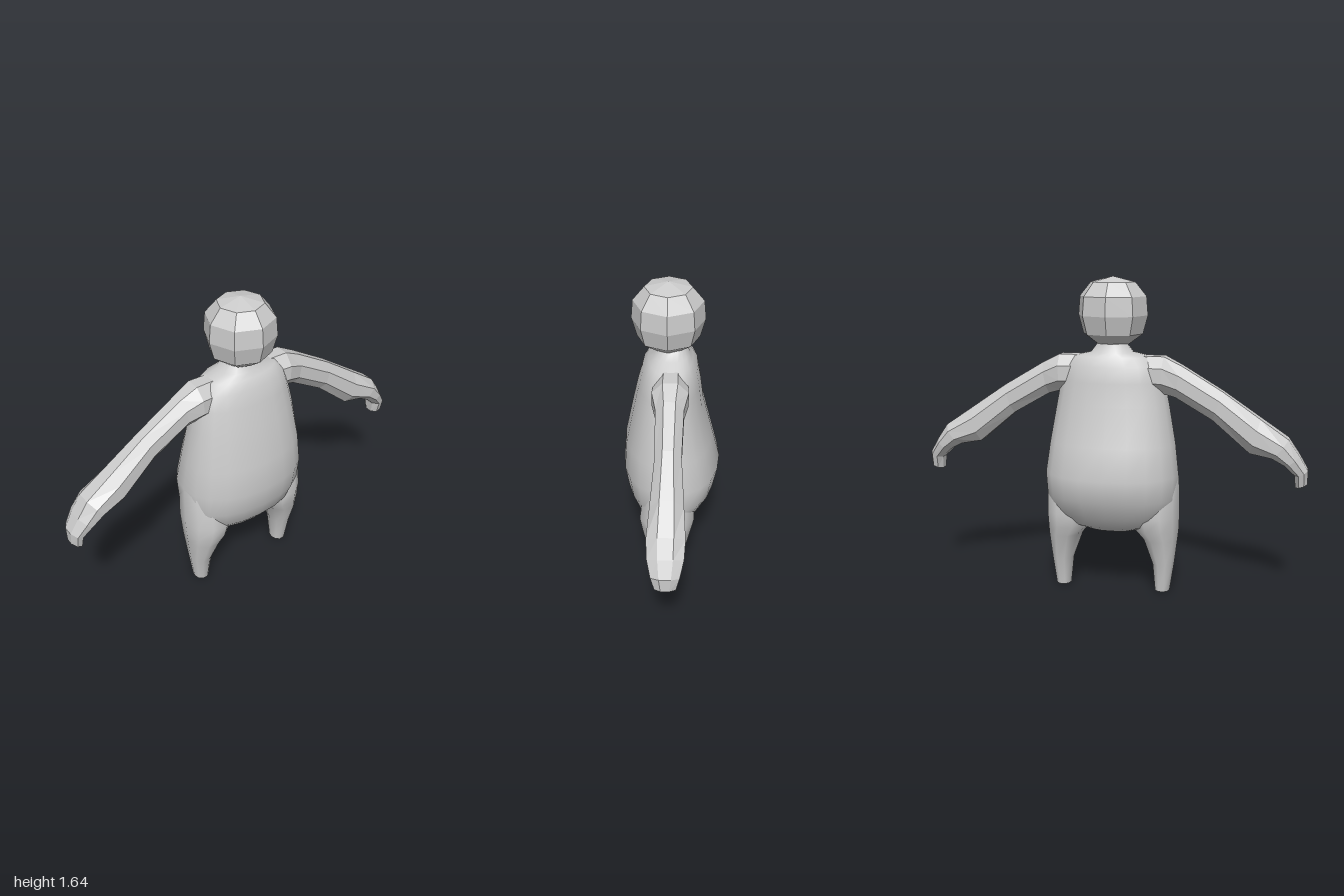
import * as THREE from 'three';

const smooth = new THREE.MeshStandardMaterial({ color: 0xcccccc });
const faceted = new THREE.MeshStandardMaterial({ color: 0xcccccc, flatShading: true });

// Skin a series of closed rings and cap both ends
function loft(name, rings, material) {
  const n = rings[0].length, pos = [], index = [];
  for (const ring of rings) for (const p of ring) pos.push(...p);
  for (let i = 0; i < rings.length - 1; i++) {
    for (let j = 0; j < n; j++) {
      const k = (j + 1) % n, a = i * n + j, b = i * n + k;
      index.push(a, a + n, b, b, a + n, b + n);
    }
  }
  const addCap = (ring, first) => {
    const start = pos.length / 3;
    for (const p of ring) pos.push(...p);
    pos.push(...[0, 1, 2].map((c) => ring.reduce((s, p) => s + p[c], 0) / n));
    for (let j = 0; j < n; j++) {
      const a = start + j, b = start + (j + 1) % n;
      index.push(start + n, first ? a : b, first ? b : a);
    }
  };
  addCap(rings[0], true);
  addCap(rings[rings.length - 1], false);
  const geo = new THREE.BufferGeometry();
  geo.setAttribute('position', new THREE.Float32BufferAttribute(pos, 3));
  geo.setIndex(index);
  geo.computeVertexNormals();
  const mesh = new THREE.Mesh(geo, material);
  mesh.name = name;
  return mesh;
}

// Horizontal rounded section between x0..x1 and back..front
function section(y, x0, x1, back, front, sides, power = 1) {
  const round = (v) => Math.sign(v) * Math.abs(v) ** power;
  return Array.from({ length: sides }, (_, i) => {
    const t = (i / sides) * Math.PI * 2;
    return [
      (x0 + x1) / 2 + round(Math.cos(t)) * (x1 - x0) / 2,
      y,
      (back + front) / 2 + round(Math.sin(t)) * (front - back) / 2,
    ];
  });
}

// Pear-shaped trunk with belly, rump, shoulders and neck: y, half width, back, front
function makeTorso() {
  const levels = [
    [0.33, 0.13, -0.07, 0.08], [0.36, 0.23, -0.12, 0.14], [0.42, 0.31, -0.17, 0.19],
    [0.52, 0.345, -0.225, 0.23], [0.64, 0.35, -0.25, 0.25], [0.8, 0.33, -0.21, 0.237],
    [1.0, 0.295, -0.16, 0.195], [1.12, 0.27, -0.145, 0.168], [1.2, 0.25, -0.13, 0.145],
    [1.245, 0.2, -0.105, 0.115], [1.265, 0.11, -0.09, 0.09], [1.31, 0.075, -0.075, 0.07],
  ];
  return loft('torso', levels.map(([y, w, b, f]) => section(y, -w, w, b, f, 20, 0.9)), smooth);
}

// Tapered leg merging into the hip: y, inner x, outer x, back, front
function makeLeg(s) {
  const levels = [
    [0, 0.23, 0.31, -0.035, 0.06], [0.15, 0.215, 0.332, -0.055, 0.085],
    [0.29, 0.165, 0.348, -0.095, 0.135], [0.34, 0.12, 0.353, -0.11, 0.15],
    [0.42, 0.1, 0.356, -0.13, 0.165], [0.62, 0.1, 0.352, -0.12, 0.14],
    [0.74, 0.12, 0.325, -0.06, 0.07],
  ];
  const rings = levels.map(([y, a, b, back, front]) =>
    section(y, Math.min(s * a, s * b), Math.max(s * a, s * b), back, front, 10, 0.9));
  return loft(s > 0 ? 'leftLeg' : 'rightLeg', rings, smooth);
}

// Drooping arm and mitten hand: top x,y / bottom x,y / half depth
function makeArm(s) {
  const stations = [
    [0.14, 1.25, 0.14, 1.06, 0.08], [0.27, 1.25, 0.26, 1.065, 0.088],
    [0.36, 1.205, 0.33, 1.045, 0.068], [0.57, 1.08, 0.52, 0.935, 0.062],
    [0.76, 0.95, 0.71, 0.775, 0.078], [0.9, 0.855, 0.82, 0.755, 0.088],
    [0.955, 0.775, 0.885, 0.72, 0.083], [1.0, 0.7, 0.935, 0.672, 0.065],
    [1.0, 0.63, 0.94, 0.608, 0.048],
  ];
  const rings = stations.map(([tx, ty, bx, by, d]) =>
    Array.from({ length: 8 }, (_, i) => {
      const t = ((i + 0.5) / 8) * Math.PI * 2;
      const u = Math.cos(t) / Math.cos(Math.PI / 8) / 2;
      return [
        s * ((tx + bx) / 2 + u * (tx - bx)),
        (ty + by) / 2 + u * (ty - by),
        -s * Math.sin(t) / Math.cos(Math.PI / 8) * d,
      ];
    }));
  return loft(s > 0 ? 'leftArm' : 'rightArm', rings, faceted);
}

// Eight-sided faceted ball
function makeHead() {
  const profile = [[0, 1.3], [0.08, 1.302], [0.155, 1.357], [0.18, 1.45], [0.172, 1.545], [0.115, 1.615], [0, 1.643]];
  const geo = new THREE.LatheGeometry(profile.map(([x, y]) => new THREE.Vector2(x, y)), 8);
  const head = new THREE.Mesh(geo, faceted);
  head.name = 'head';
  head.position.z = 0.016;
  return head;
}

export function createModel() {
  const model = new THREE.Group();
  model.name = 'figure';
  model.add(makeTorso(), makeHead());
  for (const s of [1, -1]) model.add(makeLeg(s), makeArm(s));
  return model;
}
